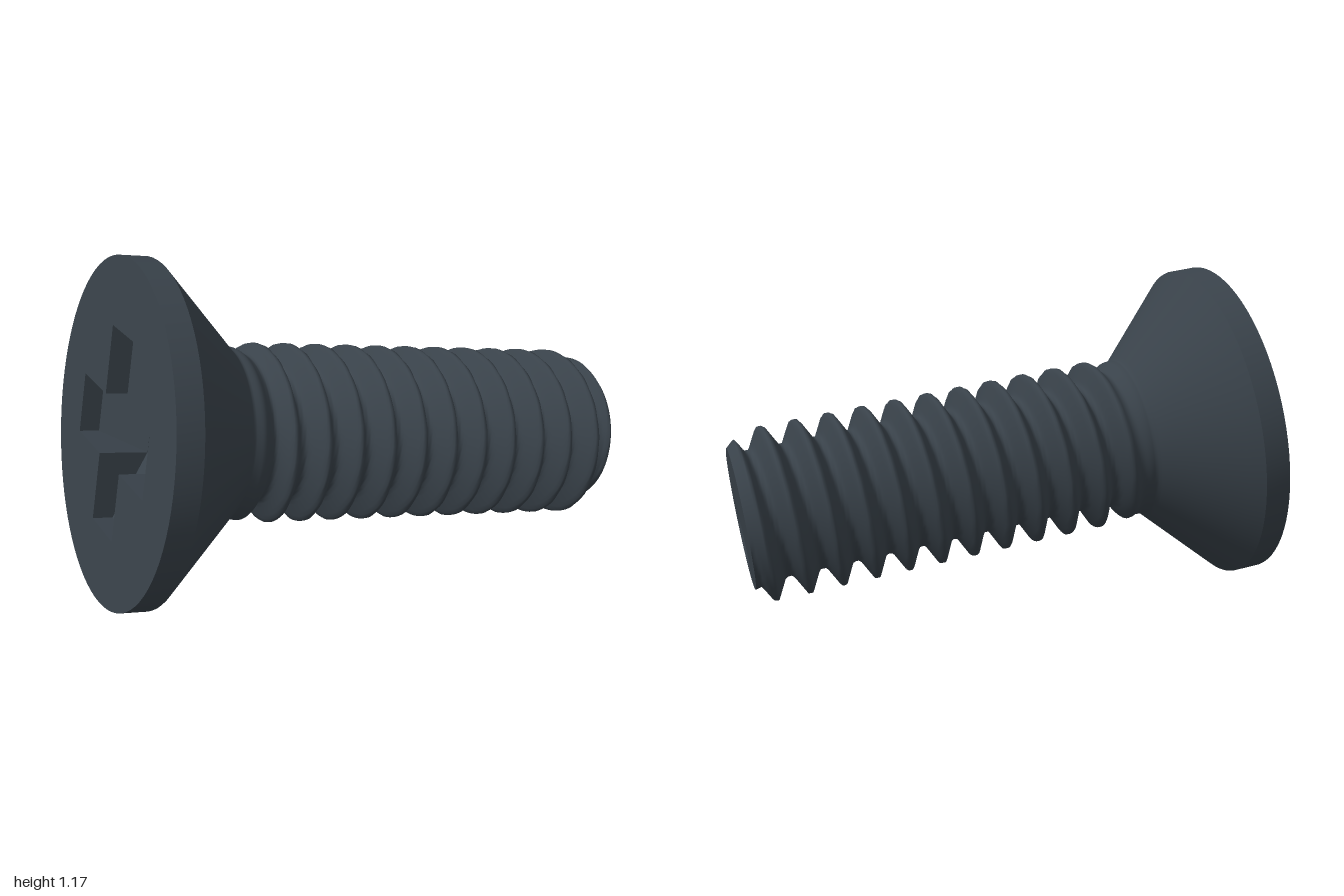
import * as THREE from 'three';

const HEAD_R = 0.585, RIM = 0.09, NECK = 0.367, END = 1.85, TIP_R = 0.255;
const PITCH = 0.122, CREST = 0.31, ROOT = 0.235;
const SIDES = 80;
const { clamp, lerp, smoothstep } = THREE.MathUtils;

// Closed surface around the z axis; fn(k, angle) gives [radius, z] for k from 0 to 1
function surface(rows, fn) {
  const pos = [], index = [];
  for (let i = 0; i <= rows; i++) {
    for (let j = 0; j < SIDES; j++) {
      const a = (j / SIDES) * Math.PI * 2;
      const [r, z] = fn(i / rows, a);
      pos.push(-Math.sin(a) * r, Math.cos(a) * r, z);
      if (i === rows) continue;
      const p = i * SIDES + j, q = i * SIDES + (j + 1) % SIDES;
      index.push(p, q, p + SIDES, q, q + SIDES, p + SIDES);
    }
  }
  const g = new THREE.BufferGeometry();
  g.setAttribute('position', new THREE.Float32BufferAttribute(pos, 3));
  g.setIndex(index);
  g.computeVertexNormals();
  return g;
}

// Radius of the right-handed thread, fading in at the neck and chamfered at the tip
function threadRadius(z, angle) {
  const turn = (z - 0.499) / PITCH - angle / (Math.PI * 2);
  const fromCrest = Math.abs(turn - Math.round(turn)) * 2;
  const slope = clamp((fromCrest - 0.14) / 0.66, 0, 1);
  let r = lerp(CREST, ROOT, slope);
  r = lerp(0.295, r, smoothstep(z, 0.39, 0.52));
  r = Math.max(r, HEAD_R - (z - RIM));
  r = Math.max(r, lerp(ROOT, TIP_R, smoothstep(z, 1.79, END)));
  return Math.min(r, TIP_R + (END - z) * 0.9);
}

// Cross-shaped recess: four sloping arms around a deeper square pit
function recessGeometry(w, len, outer, inner, pit) {
  const pos = [];
  const quad = (corners, turn) => {
    const c = Math.round(Math.cos(turn)), s = Math.round(Math.sin(turn));
    const p = corners.map(([u, v, d]) => [u * c - v * s, u * s + v * c, d]);
    for (const i of [0, 1, 2, 0, 2, 3]) pos.push(...p[i]);
  };
  for (let k = 0; k < 4; k++) {
    const t = k * Math.PI / 2;
    quad([[w, -w, inner], [w, w, inner], [len, w, outer], [len, -w, outer]], t);
    quad([[len, -w, 0], [len, -w, outer], [len, w, outer], [len, w, 0]], t);
    quad([[w, w, 0], [len, w, 0], [len, w, outer], [w, w, inner]], t);
    quad([[w, -w, 0], [w, -w, inner], [len, -w, outer], [len, -w, 0]], t);
    quad([[w, -w, inner], [w, -w, pit], [w, w, pit], [w, w, inner]], t);
  }
  quad([[-w, -w, pit], [-w, w, pit], [w, w, pit], [w, -w, pit]], 0);
  const g = new THREE.BufferGeometry();
  g.setAttribute('position', new THREE.Float32BufferAttribute(pos, 3));
  g.computeVertexNormals();
  return g;
}

export function createModel() {
  const steel = new THREE.MeshStandardMaterial({ color: 0x39424a });
  steel.name = 'dark steel';
  const screw = new THREE.Group();
  screw.name = 'screw';
  const add = (name, geometry) => {
    const m = new THREE.Mesh(geometry, steel);
    m.name = name;
    screw.add(m);
  };

  // Flat head face with a cross cut out
  const w = 0.105, len = 0.34;
  const face = new THREE.Shape().absarc(0, 0, HEAD_R, 0, Math.PI * 2);
  const cross = [[len, -w], [len, w], [w, w], [w, len], [-w, len], [-w, w],
    [-len, w], [-len, -w], [-w, -w], [-w, -len], [w, -len], [w, -w]];
  face.holes.push(new THREE.Path(cross.map(([x, y]) => new THREE.Vector2(x, y))));
  add('headFace', new THREE.ShapeGeometry(face, SIDES / 2).rotateY(Math.PI));
  add('driveRecess', recessGeometry(w, len, 0.07, 0.17, 0.27));

  // Head rim and countersunk cone
  add('headRim', surface(1, k => [HEAD_R, k * RIM]));
  add('headCone', surface(6, k => {
    const z = lerp(RIM, NECK, k);
    return [HEAD_R - (z - RIM), z];
  }));

  // Threaded shaft
  add('threadedShaft', surface(200, (k, a) => {
    const z = lerp(NECK, END, k);
    return [threadRadius(z, a), z];
  }));

  // Tip with a small dent where the thread runs out
  add('tip', surface(16, (k, a) => {
    const r = TIP_R * (1 - k);
    const along = (a - 2.15) / 0.4, across = (r - 0.19) / 0.05;
    const rim = smoothstep(TIP_R - r, 0, 0.03);
    return [r, END - 0.04 * rim * Math.exp(-along * along - across * across)];
  }));

  // Lean the screw along its axis, head low on -x and tip on +x
  const axis = new THREE.Vector3(0.966, -0.155, 0.205).normalize();
  const up = new THREE.Vector3(0, 1, 0).addScaledVector(axis, -axis.y).normalize();
  const side = new THREE.Vector3().crossVectors(up, axis);
  screw.quaternion.setFromRotationMatrix(new THREE.Matrix4().makeBasis(side, up, axis));
  screw.position.set(-0.85, 0.593, -0.047);

  const model = new THREE.Group();
  model.name = 'countersunkScrew';
  model.add(screw);
  return model;
}
